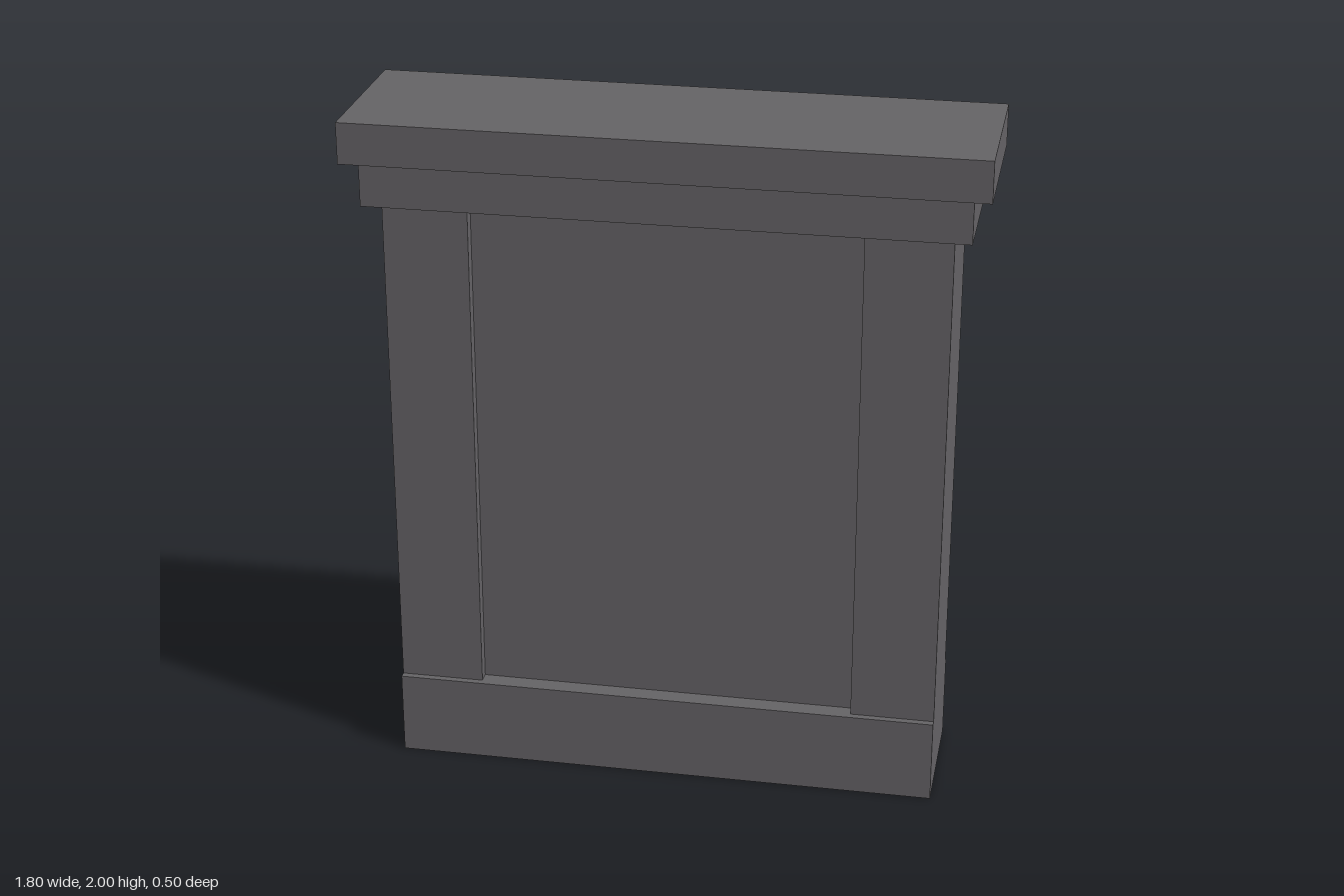
import * as THREE from 'three';

export function createModel() {
  const model = new THREE.Group();
  model.name = 'panelledWall';
  const stone = new THREE.MeshStandardMaterial({ color: 0x656366 });
  stone.name = 'darkGreyStone';

  // Box given by its min and max on each axis
  function block(name, [x0, x1], [y0, y1], [z0, z1]) {
    const mesh = new THREE.Mesh(new THREE.BoxGeometry(x1 - x0, y1 - y0, z1 - z0), stone);
    mesh.position.set((x0 + x1) / 2, (y0 + y1) / 2, (z0 + z1) / 2);
    mesh.name = name;
    model.add(mesh);
  }

  const base = 0.25, top = 1.75, inner = 0.555, back = -0.1;

  // Plinth and stepped cornice
  block('plinth', [-0.8, 0.8], [0, base], [-0.2, 0.2]);
  block('lowerCornice', [-0.85, 0.85], [top, 1.88], [-0.22, 0.22]);
  block('upperCornice', [-0.9, 0.9], [1.88, 2], [-0.25, 0.25]);

  // Side pillars and the recessed wall between them
  block('leftPillar', [inner, 0.8], [base, top], [-0.178, 0.18]);
  block('rightPillar', [-0.8, -inner], [base, top], [-0.178, 0.18]);
  block('wallPanel', [-inner, inner], [base, top], [back, 0.145]);

  // Two slightly raised panels on the back, set diagonally
  block('lowerBackPanel', [0, inner], [base, 0.955], [-0.12, back]);
  block('upperBackPanel', [-inner, 0], [0.745, top], [-0.12, back]);

  // Central boss and the small block standing on the plinth
  block('backBoss', [-0.057, 0.057], [0.765, 0.96], [-0.168, back]);
  block('backStep', [-0.45, -0.2], [base, 0.38], [-0.2, back]);

  return model;
}
